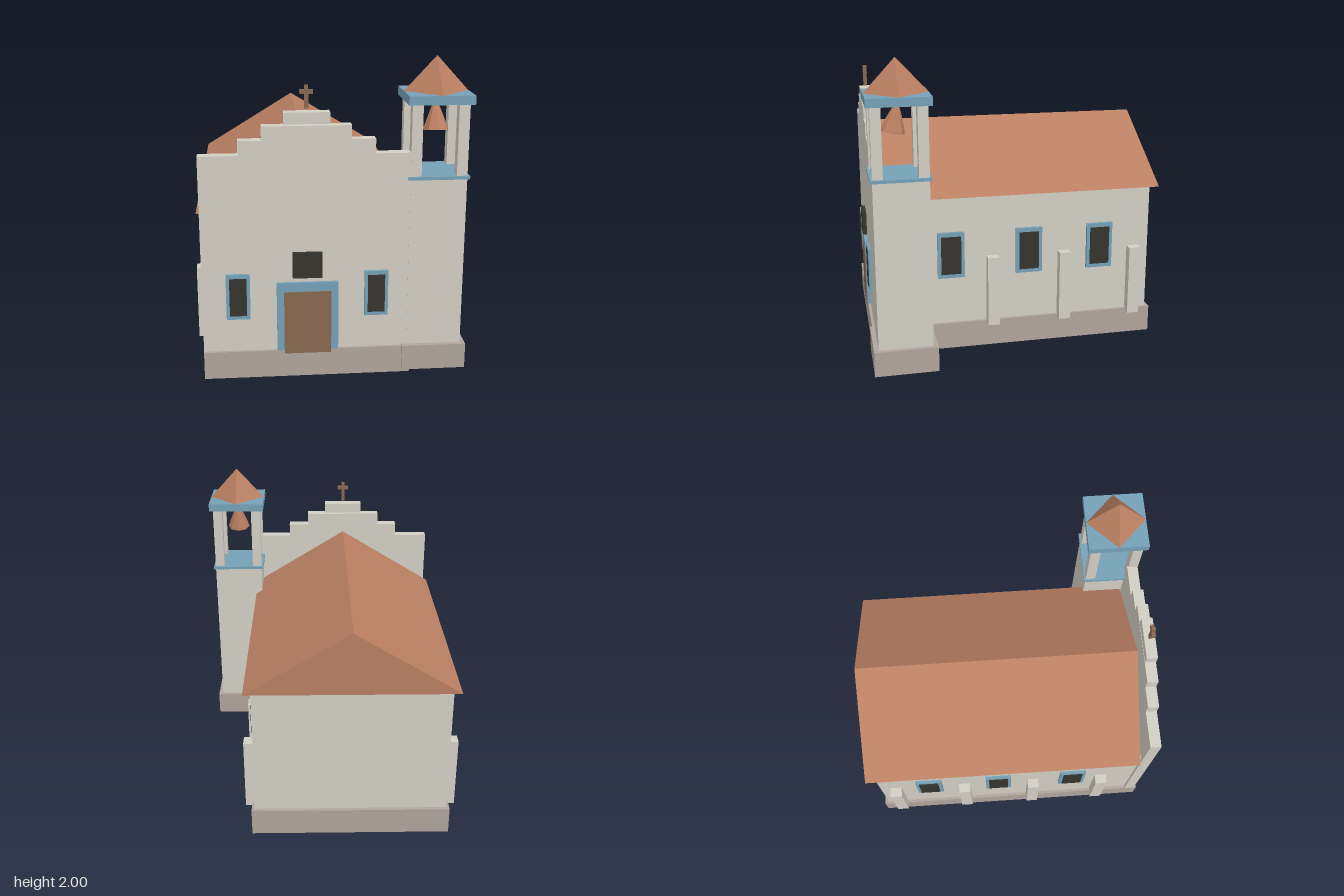
import * as THREE from 'three';

const material = (name, color) => Object.assign(new THREE.MeshStandardMaterial({ color }), { name });

export function createModel() {
  const plaster = material('plaster', 0xd2cec4);
  const stone = material('stone', 0xafa59b);
  const blue = material('blue trim', 0x76a1b7);
  const tile = material('terracotta', 0xb97f62);
  const wood = material('wood', 0x886850);
  const dark = material('dark glass', 0x35342e);

  const model = new THREE.Group();
  model.name = 'chapel';

  const add = (name, geometry, mat) => {
    const mesh = new THREE.Mesh(geometry, mat);
    mesh.name = name;
    model.add(mesh);
    return mesh;
  };
  // Box given by its extents on each axis
  const box = (name, mat, x0, x1, y0, y1, z0, z1) => {
    const g = new THREE.BoxGeometry(x1 - x0, y1 - y0, z1 - z0);
    g.translate((x0 + x1) / 2, (y0 + y1) / 2, (z0 + z1) / 2);
    return add(name, g, mat);
  };
  // Outline in x and y, extruded from z0 to z1
  const slab = (name, mat, points, z0, z1) => {
    const shape = new THREE.Shape(points.map(([x, y]) => new THREE.Vector2(x, y)));
    const g = new THREE.ExtrudeGeometry(shape, { depth: z1 - z0, bevelEnabled: false });
    g.translate(0, 0, z0);
    return add(name, g, mat);
  };

  const cx = -0.16; // centre line of the nave

  // Plinth, nave and gabled roof
  box('plinth', stone, -0.81, 0.49, 0, 0.18, -0.965, 0.975);
  box('nave', plaster, -0.79, 0.47, 0.18, 1.065, -0.94, 0.89);
  slab('roof', tile, [[cx - 0.675, 1.062], [cx + 0.675, 1.062], [cx, 1.475]], -0.99, 0.876);

  // Stepped facade
  slab('facade', plaster, [
    [-0.81, 0.18], [0.48, 0.18], [0.48, 1.44], [0.255, 1.44], [0.255, 1.53], [0.11, 1.53], [0.11, 1.615],
    [-0.43, 1.615], [-0.43, 1.53], [-0.57, 1.53], [-0.57, 1.44], [-0.81, 1.44],
  ], 0.885, 0.957);
  box('facadeCap', plaster, -0.297, -0.02, 1.625, 1.695, 0.885, 0.957);
  box('crossPost', wood, cx - 0.012, cx + 0.012, 1.715, 1.852, 0.91, 0.934);
  box('crossArm', wood, cx - 0.04, cx + 0.04, 1.8, 1.825, 0.91, 0.934);

  // Door, sign panel and front windows
  box('doorFrame', blue, -0.35, 0.033, 0.18, 0.632, 0.95, 0.978);
  box('door', wood, -0.305, -0.012, 0.16, 0.573, 0.976, 0.982);
  box('signPanel', dark, -0.25, -0.068, 0.665, 0.828, 0.95, 0.985);
  for (const x of [-0.588, 0.27]) {
    box('frontWindowFrame', blue, x - 0.074, x + 0.074, 0.4, 0.695, 0.95, 0.976);
    box('frontWindowGlass', dark, x - 0.053, x + 0.053, 0.425, 0.67, 0.975, 0.982);
  }

  // Side windows and buttresses, mirrored about the nave
  for (const side of [-1, 1]) {
    const span = (a, b) => (side > 0 ? [cx + a, cx + b] : [cx - b, cx - a]);
    for (const z of [0.44, -0.09, -0.585]) {
      box('sideWindowFrame', blue, ...span(0.62, 0.65), 0.505, 0.82, z - 0.09, z + 0.09);
      box('sideWindowGlass', dark, ...span(0.649, 0.656), 0.532, 0.792, z - 0.067, z + 0.067);
    }
    for (const z of [0.65, 0.16, -0.335, -0.83]) {
      box('buttress', plaster, ...span(0.615, 0.693), 0.16, 0.64, z - 0.04, z + 0.04);
    }
  }

  // Bell tower
  const tx = 0.643, tz = 0.785;
  const square = (name, mat, half, y0, y1) =>
    box(name, mat, tx - half, tx + half, y0, y1, tz - half, tz + half);
  square('towerPlinth', stone, 0.204, 0.02, 0.185);
  square('tower', plaster, 0.174, 0.185, 1.27);
  square('belfryFloor', blue, 0.188, 1.27, 1.29);
  for (const sx of [-1, 1]) {
    for (const sz of [-1, 1]) {
      const x = tx + sx * 0.141, z = tz + sz * 0.141;
      box('belfryColumn', plaster, x - 0.033, x + 0.033, 1.29, 1.73, z - 0.033, z + 0.033);
    }
  }
  square('belfryCeiling', blue, 0.199, 1.73, 1.785);
  const spire = add('spire', new THREE.ConeGeometry(0.203, 0.22, 4).toNonIndexed(), tile);
  spire.geometry.computeVertexNormals();
  spire.position.set(tx, 1.89, tz);

  // Swinging bell, faceted
  const profile = [[0, 0], [0.08, 0], [0.074, 0.02], [0.034, 0.125], [0.018, 0.158], [0, 0.158]];
  const bellShape = new THREE.LatheGeometry(profile.map(([r, y]) => new THREE.Vector2(r, y)), 8).toNonIndexed();
  bellShape.computeVertexNormals();
  const bell = add('bell', bellShape, tile);
  bell.position.set(tx, 1.546, 0.815);
  bell.rotation.x = -0.2;

  return model;
}
